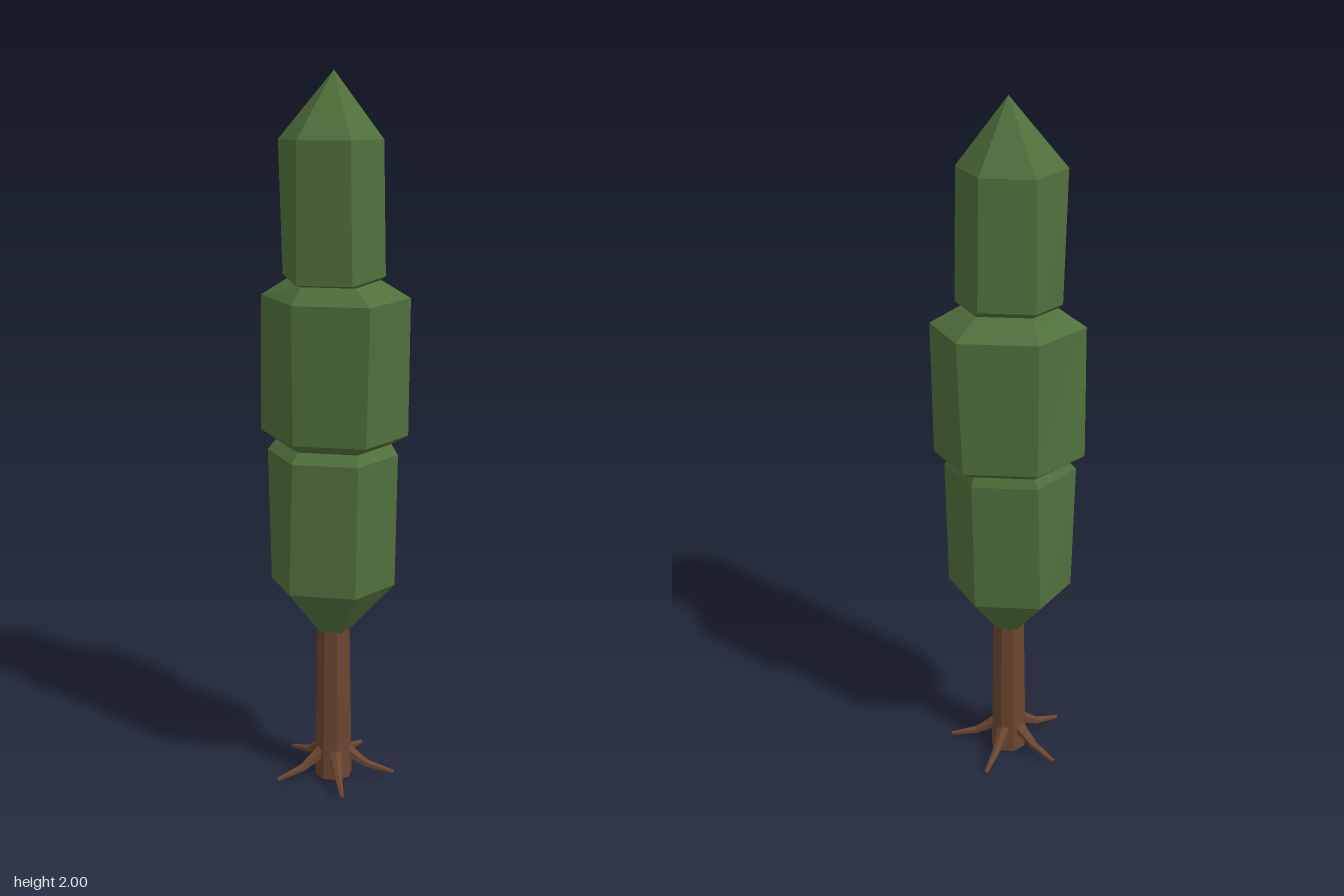
import * as THREE from 'three';

const leafGreen = new THREE.MeshStandardMaterial({ color: 0x50703c, flatShading: true });
leafGreen.name = 'leafGreen';
const barkBrown = new THREE.MeshStandardMaterial({ color: 0x6b4630, flatShading: true });
barkBrown.name = 'barkBrown';

// One uneven six-sided ring, counterclockwise from above
function hexRing([y, tilt, left, right, frontL, frontR, zFront, zMid, zBack]) {
  return [
    [right, zMid], [frontR, zBack], [frontL, zBack],
    [left, zMid], [frontL, zFront], [frontR, zFront],
  ].map(([x, z]) => [x, y + tilt * z, z]);
}

// Skin a stack of rings, closed by a bottom point and a top point
function skin(rings, bottom, top) {
  const pos = [];
  const tri = (a, b, c) => pos.push(...a, ...b, ...c);
  const n = rings[0].length;
  for (let i = 0; i < n; i++) {
    const j = (i + 1) % n;
    tri(bottom, rings[0][j], rings[0][i]);
    for (let k = 0; k < rings.length - 1; k++) {
      const a = rings[k], b = rings[k + 1];
      tri(a[i], a[j], b[j]);
      tri(a[i], b[j], b[i]);
    }
    const last = rings[rings.length - 1];
    tri(last[i], last[j], top);
  }
  const geo = new THREE.BufferGeometry();
  geo.setAttribute('position', new THREE.Float32BufferAttribute(pos, 3));
  geo.computeVertexNormals();
  return geo;
}

function addMesh(parent, name, geo, mat) {
  const mesh = new THREE.Mesh(geo, mat);
  mesh.name = name;
  parent.add(mesh);
  return mesh;
}

export function createModel() {
  const tree = new THREE.Group();
  tree.name = 'tree';

  // Foliage: three stacked tiers pinched at the necks
  // y, tilt, left, right, front left, front right, z front, z middle, z back
  const foliage = [
    [0.46, 0, -0.05, 0.05, -0.03, 0.03, 0.045, 0, -0.045],
    [0.60, 0, -0.18, 0.175, -0.10, 0.085, 0.135, 0, -0.14],
    [0.98, -0.05, -0.187, 0.18, -0.09, 0.09, 0.13, 0, -0.14],
    [1.007, -0.05, -0.165, 0.16, -0.08, 0.085, 0.105, -0.01, -0.13],
    [1.03, -0.06, -0.21, 0.205, -0.09, 0.11, 0.12, -0.02, -0.165],
    [1.41, -0.05, -0.205, 0.207, -0.09, 0.12, 0.13, -0.02, -0.172],
    [1.457, -0.1, -0.13, 0.125, -0.07, 0.075, 0.09, -0.01, -0.11],
    [1.468, -0.12, -0.142, 0.14, -0.08, 0.07, 0.112, -0.01, -0.123],
    [1.825, 0, -0.15, 0.133, -0.075, 0.065, 0.117, -0.005, -0.112],
  ].map(hexRing);
  addMesh(tree, 'foliage', skin(foliage, [0, 0.46, 0], [0, 2, -0.005]), leafGreen);

  // Trunk
  const trunk = addMesh(tree, 'trunk', new THREE.CylinderGeometry(0.047, 0.055, 0.48, 8), barkBrown);
  trunk.position.y = 0.24;
  trunk.rotation.y = Math.PI / 8;

  // Roots: tapered, bent cones fanned round the trunk foot
  const sections = [ // radius from axis, height, thickness
    [0.035, 0.08, 0.022], [0.06, 0.062, 0.017], [0.10, 0.036, 0.012], [0.178, 0.016, 0.006],
  ];
  const rootRings = sections.map(([x, y, r], k) => {
    const p = sections[Math.max(k - 1, 0)], q = sections[Math.min(k + 1, 3)];
    const dir = new THREE.Vector2(q[0] - p[0], q[1] - p[1]).normalize();
    return Array.from({ length: 6 }, (_, i) => {
      const a = (i / 6) * Math.PI * 2;
      const up = Math.cos(a) * r;
      return [x - dir.y * up, y + dir.x * up, Math.sin(a) * r];
    });
  });
  const rootGeo = skin(rootRings, [0.035, 0.08, 0], [0.18, 0.015, 0]);
  for (let i = 0; i < 5; i++) {
    const root = addMesh(tree, 'root' + (i + 1), rootGeo, barkBrown);
    root.rotation.y = (i / 5) * Math.PI * 2;
  }
  return tree;
}
